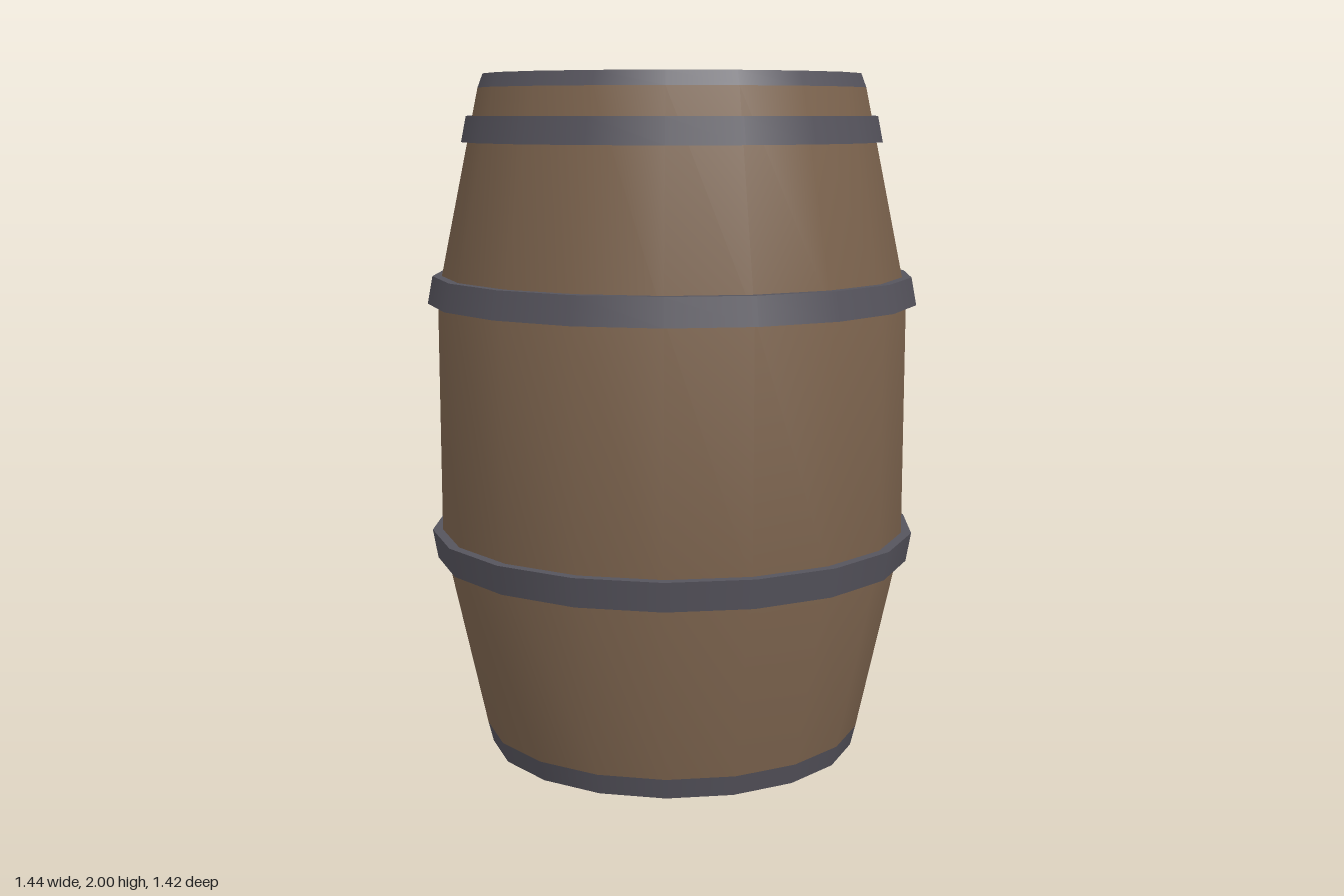
import * as THREE from 'three';
import { mergeGeometries } from 'three/addons/utils/BufferGeometryUtils.js';

const SIDES = 18;

export function createModel() {
  const wood = new THREE.MeshStandardMaterial({ color: 0x7e654f });
  wood.name = 'wood';
  const iron = new THREE.MeshStandardMaterial({ color: 0x56545d });
  iron.name = 'iron';

  const barrel = new THREE.Group();
  barrel.name = 'barrel';

  // Revolve a profile of [radius, height] pairs, with a corner on the x axis
  const revolve = (profile) =>
    new THREE.LatheGeometry(profile.map(([r, y]) => new THREE.Vector2(r, y)), SIDES)
      .rotateY(Math.PI / SIDES);

  const add = (name, geometry, material) => {
    const mesh = new THREE.Mesh(geometry, material);
    mesh.name = name;
    barrel.add(mesh);
  };

  // Staves: straight waist with tapering ends
  add('staves', revolve([[0.565, 0.06], [0.69, 0.64], [0.69, 1.36], [0.565, 1.96]]), wood);

  // Flat ends
  add('lid', revolve([[0.55, 2], [0, 2]]), wood);
  add('base', revolve([[0, 0], [0.55, 0]]), iron);

  // Thin iron rims at both ends
  add('bottomRim', revolve([[0.55, 0], [0.565, 0.06]]), iron);
  add('topRim', revolve([[0.565, 1.96], [0.55, 2]]), iron);

  // Hoops: tapered rings with sharp edges, sunk into the staves
  const hoops = [
    { name: 'lowerHoop', y0: 0.58, y1: 0.665, r0: 0.705, r1: 0.72, inner: 0.65 },
    { name: 'upperHoop', y0: 1.34, y1: 1.42, r0: 0.72, r1: 0.705, inner: 0.65 },
    { name: 'topHoop', y0: 1.805, y1: 1.88, r0: 0.615, r1: 0.6, inner: 0.56 },
  ];
  for (const { name, y0, y1, r0, r1, inner } of hoops) {
    const loop = [[inner, y0], [r0, y0], [r1, y1], [inner, y1]];
    const faces = [0, 1, 2].map((i) => revolve([loop[i], loop[i + 1]]));
    add(name, mergeGeometries(faces), iron);
  }

  return barrel;
}
